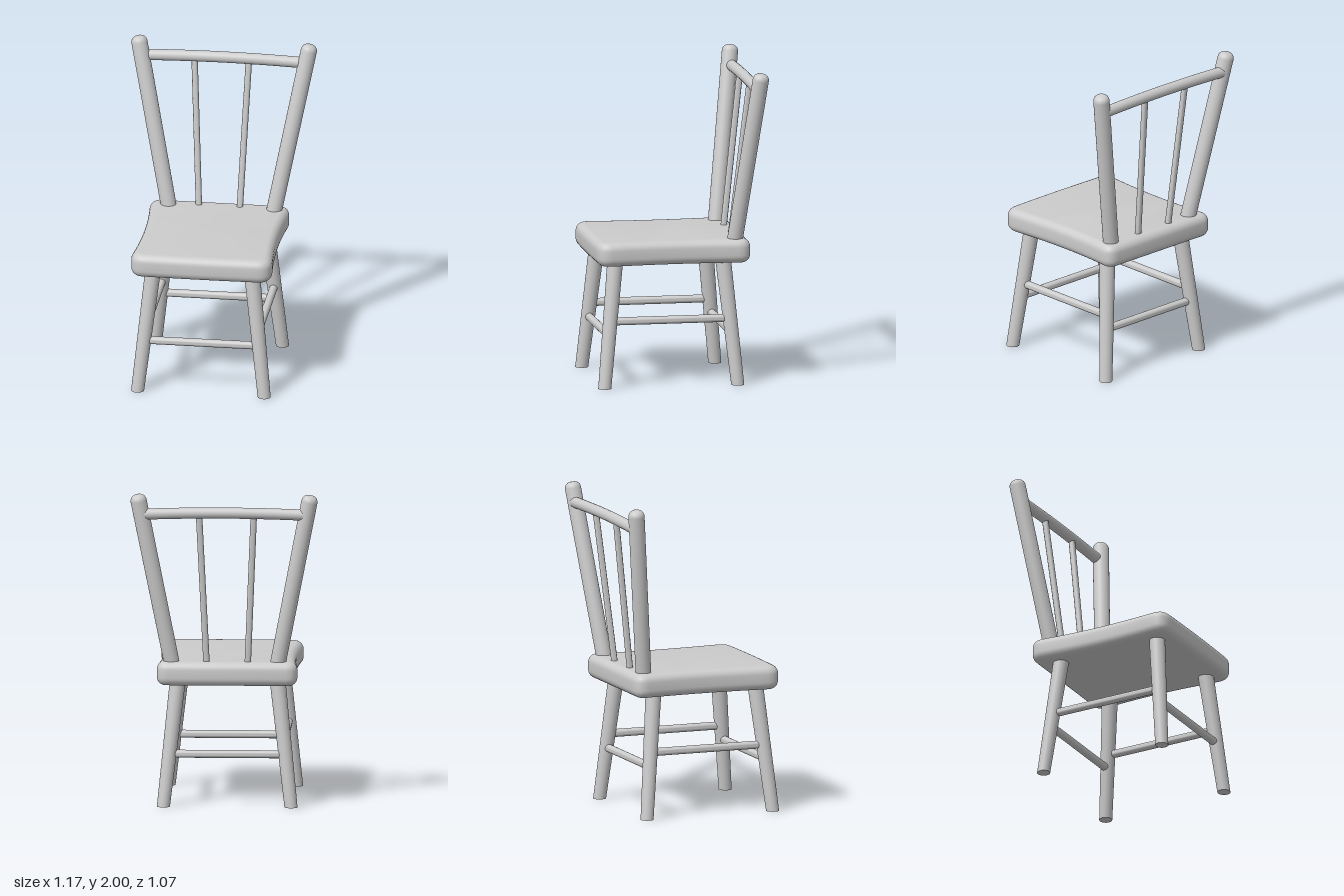
import * as THREE from 'three';
import { mergeVertices, toCreasedNormals } from 'three/addons/utils/BufferGeometryUtils.js';

const material = new THREE.MeshStandardMaterial({ color: 0xcccccc });
const V = (x, y, z) => new THREE.Vector3(x, y, z);

function add(group, name, geometry) {
  const mesh = new THREE.Mesh(geometry, material);
  mesh.name = name;
  group.add(mesh);
  return mesh;
}

// Round rod from a to b; dome is the radius of the rounding at the b end
function rod(group, name, a, b, ra, rb, dome = 0) {
  const dir = b.clone().sub(a);
  const length = dir.length();
  const profile = [new THREE.Vector2(0, 0), new THREE.Vector2(ra, 0), new THREE.Vector2(rb, length - dome)];
  for (let i = 1; dome && i <= 6; i++) {
    const t = (i / 6) * Math.PI / 2;
    profile.push(new THREE.Vector2(rb - dome + dome * Math.cos(t), length - dome + dome * Math.sin(t)));
  }
  profile.push(new THREE.Vector2(0, length));
  const geometry = toCreasedNormals(new THREE.LatheGeometry(profile, 24), 0.7);
  const mesh = add(group, name, geometry);
  mesh.position.copy(a);
  mesh.quaternion.setFromUnitVectors(V(0, 1, 0), dir.normalize());
}

// Splayed leg: an upright cylinder sheared so that its foot stays flat on the ground
function leg(group, name, foot, top) {
  const h = top.y;
  const geometry = new THREE.CylinderGeometry(0.05, 0.041, h, 24).translate(0, h / 2, 0);
  const sx = (top.x - foot.x) / h, sz = (top.z - foot.z) / h;
  geometry.applyMatrix4(new THREE.Matrix4().set(1, sx, 0, 0, 0, 1, 0, 0, 0, sz, 1, 0, 0, 0, 0, 1));
  add(group, name, geometry).position.copy(foot);
}

// Seat slab with a slightly waisted outline and soft edges
function seatGeometry() {
  const s = new THREE.Shape();
  s.moveTo(-0.36, -0.53);
  s.quadraticCurveTo(0, -0.54, 0.36, -0.53);
  s.quadraticCurveTo(0.445, -0.525, 0.445, -0.44);
  s.bezierCurveTo(0.415, -0.12, 0.415, 0.1, 0.44, 0.36);
  s.quadraticCurveTo(0.445, 0.44, 0.37, 0.445);
  s.lineTo(-0.37, 0.445);
  s.quadraticCurveTo(-0.445, 0.44, -0.44, 0.36);
  s.bezierCurveTo(-0.415, 0.1, -0.415, -0.12, -0.445, -0.44);
  s.quadraticCurveTo(-0.445, -0.525, -0.36, -0.53);
  const bevel = 0.05;
  const geometry = new THREE.ExtrudeGeometry(s, {
    depth: 0.15 - 2 * bevel, bevelThickness: bevel, bevelSize: bevel,
    bevelOffset: -bevel, bevelSegments: 6, curveSegments: 12,
  });
  geometry.rotateX(-Math.PI / 2).translate(-0.015, 0.775 + bevel, 0);
  geometry.deleteAttribute('uv');
  return toCreasedNormals(mergeVertices(geometry, 1e-4), 0.7);
}

export function createModel() {
  const chair = new THREE.Group();
  chair.name = 'chair';
  add(chair, 'seat', seatGeometry());

  // The seat and legs sit slightly to one side of the back
  const cx = -0.015;
  for (const [side, s] of [['left', 1], ['right', -1]]) {
    leg(chair, side + 'FrontLeg', V(cx + s * 0.4, 0, 0.485), V(cx + s * 0.312, 0.8, 0.402));
    leg(chair, side + 'BackLeg', V(cx + s * 0.4, 0, -0.362), V(cx + s * 0.312, 0.8, -0.283));
    rod(chair, side + 'Stretcher', V(cx + s * 0.354, 0.418, -0.32), V(cx + s * 0.354, 0.418, 0.44), 0.025, 0.025);
    rod(chair, side + 'BackPost', V(s * 0.323, 0.86, -0.347), V(s * 0.543, 1.998, -0.486), 0.049, 0.051, 0.04);
    rod(chair, side + 'Spindle', V(-0.015 + s * 0.127, 0.86, -0.363), V(-0.015 + s * 0.172, 1.88, -0.48), 0.02, 0.02);
  }

  // Front and back stretchers
  for (const [name, z] of [['frontStretcher', 0.45], ['backStretcher', -0.329]]) {
    rod(chair, name, V(cx - 0.36, 0.33, z), V(cx + 0.36, 0.33, z), 0.025, 0.025);
  }

  // Top rail, very slightly arched
  const arch = new THREE.QuadraticBezierCurve3(V(-0.52, 1.873, -0.483), V(0, 1.895, -0.483), V(0.52, 1.873, -0.483));
  add(chair, 'topRail', new THREE.TubeGeometry(arch, 16, 0.035, 20));
  return chair;
}
